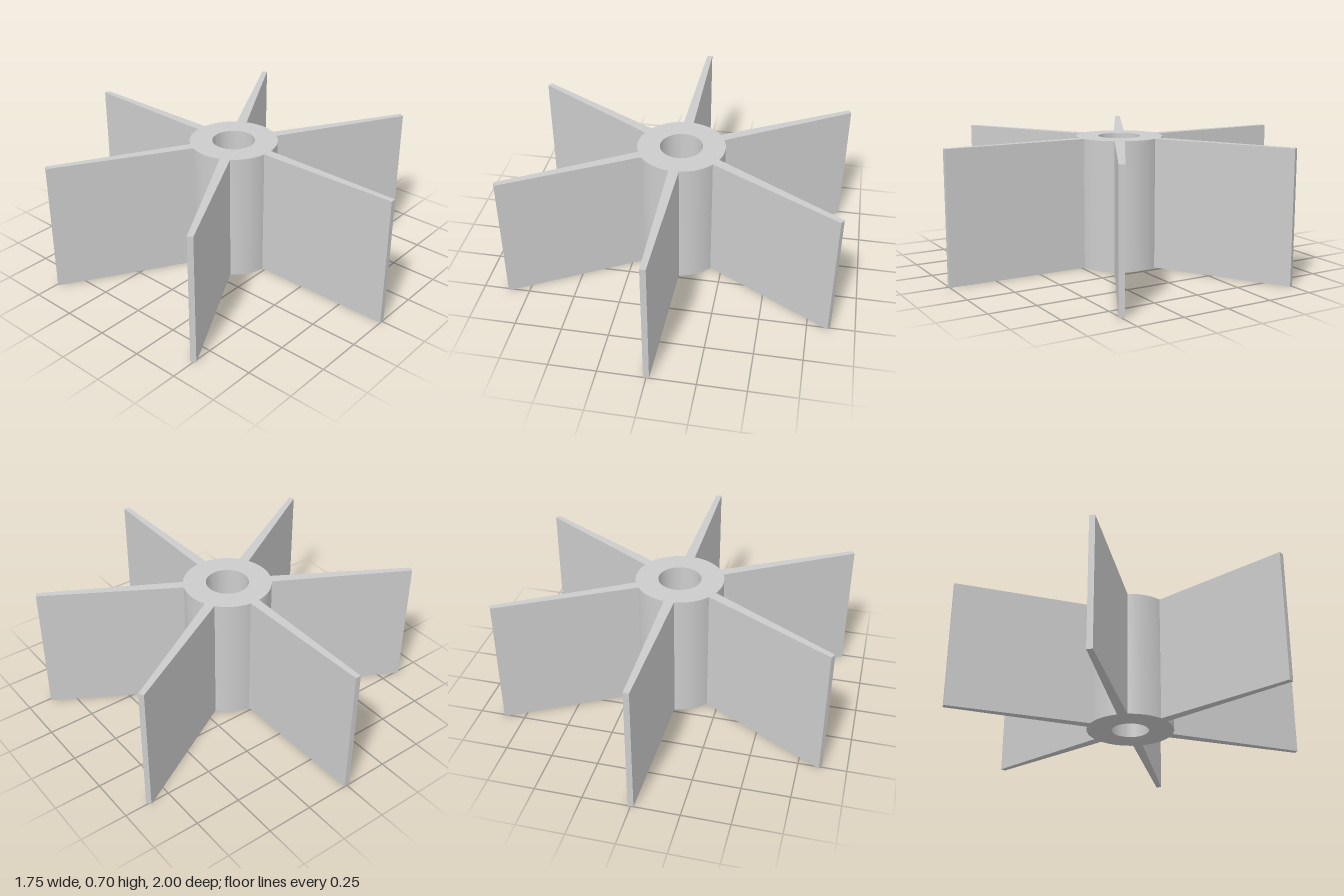
import * as THREE from 'three';
import { toCreasedNormals } from 'three/addons/utils/BufferGeometryUtils.js';

const HEIGHT = 0.705;
const HUB_RADIUS = 0.235;
const BLADE_COUNT = 6;

// Hub: a straight cylinder with a bore narrowing towards the bottom
function hubGeometry() {
  const profile = [
    [HUB_RADIUS, 0], [HUB_RADIUS, HEIGHT], [0.114, HEIGHT], [0.1, 0], [HUB_RADIUS, 0],
  ].map(([r, y]) => new THREE.Vector2(r, y));
  return toCreasedNormals(new THREE.LatheGeometry(profile, 72), Math.PI / 6);
}

// Blade: upright plate along +x, thinning from root to tip
function bladeGeometry() {
  const root = 0.027, tip = 0.015, start = HUB_RADIUS - 0.003;
  const outline = new THREE.Shape([
    new THREE.Vector2(start, -root),
    new THREE.Vector2(1, -tip),
    new THREE.Vector2(1, tip),
    new THREE.Vector2(start, root),
  ]);
  const geometry = new THREE.ExtrudeGeometry(outline, { depth: HEIGHT, bevelEnabled: false });
  return geometry.rotateX(-Math.PI / 2);
}

export function createModel() {
  const model = new THREE.Group();
  model.name = 'paddleWheel';
  const material = new THREE.MeshStandardMaterial({ color: 0xcccccc });

  const hub = new THREE.Mesh(hubGeometry(), material);
  hub.name = 'hub';
  model.add(hub);

  // Blades evenly spaced, one pointing straight to the front
  const blade = bladeGeometry();
  for (let i = 0; i < BLADE_COUNT; i++) {
    const mesh = new THREE.Mesh(blade, material);
    mesh.name = `blade${i + 1}`;
    mesh.rotation.y = Math.PI / 2 + (i * 2 * Math.PI) / BLADE_COUNT;
    model.add(mesh);
  }
  return model;
}
